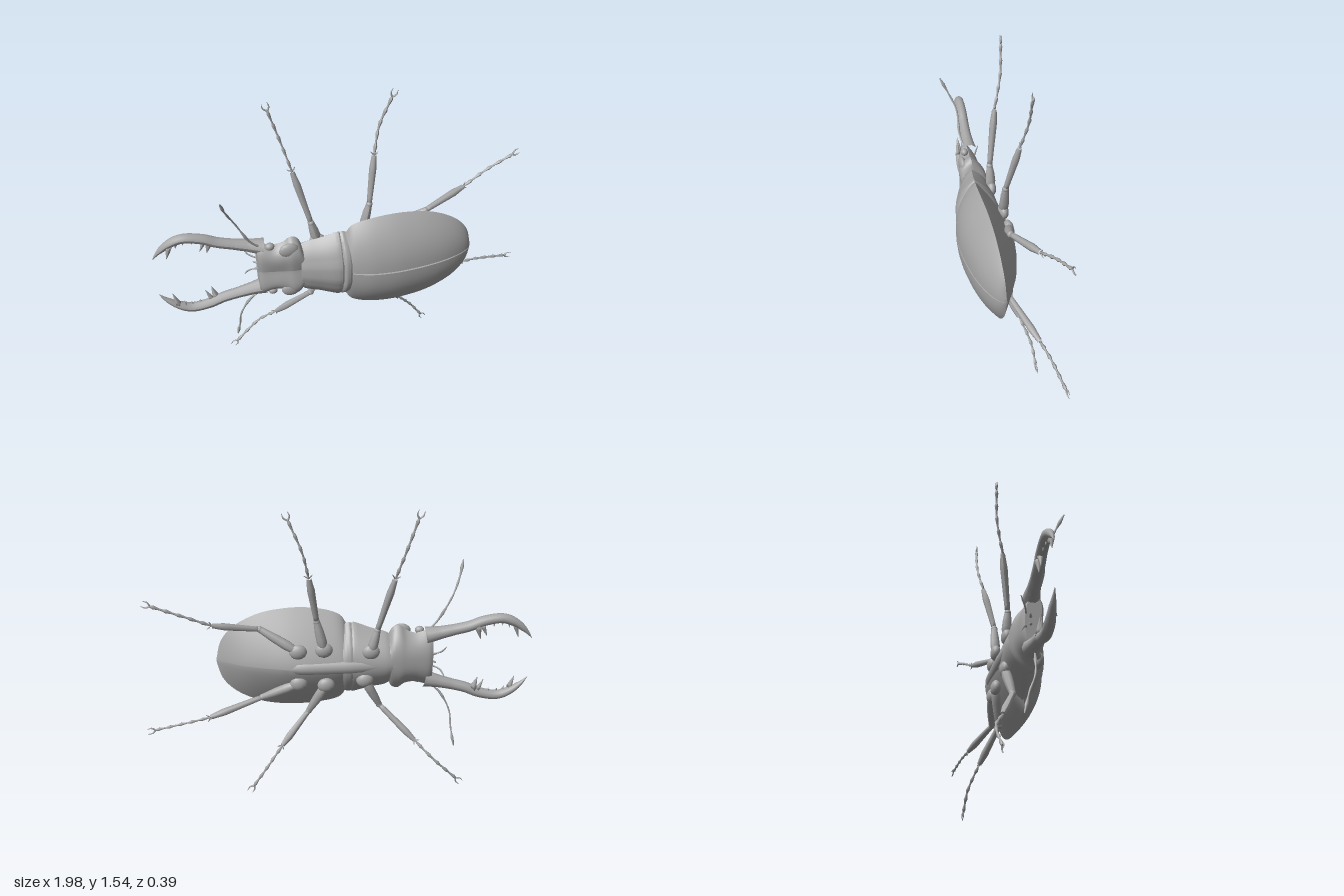
import * as THREE from 'three';
import { mergeGeometries, toCreasedNormals } from 'three/addons/utils/BufferGeometryUtils.js';

const shell = new THREE.MeshStandardMaterial({ color: 0xa6a6a6 });
shell.name = 'shell grey';
const V = (p) => new THREE.Vector3(...p);

function add(group, name, geo) {
  const mesh = new THREE.Mesh(geo, shell);
  mesh.name = name;
  group.add(mesh);
  return mesh;
}

// Body shell running along x. Each section: [x, halfWidth, rimZ, topZ, bottomZ].
// topShape(u) and bottomShape(u) give the relative height across the width, u = -1..1.
function loft(sections, cy, topShape, bottomShape, steps = 4) {
  const c1 = new THREE.CatmullRomCurve3(sections.map((s) => V([s[0], s[1], s[2]])), false, 'catmullrom');
  const c2 = new THREE.CatmullRomCurve3(sections.map((s) => V([s[3], s[4], 0])), false, 'catmullrom');
  const rows = [];
  const n = (sections.length - 1) * steps;
  for (let i = 0; i <= n; i++) {
    const a = c1.getPoint(i / n), b = c2.getPoint(i / n);
    rows.push([a.x, Math.max(a.y, 0.001), a.z, b.x, b.y]);
  }
  const close = (r) => [r[0], 0.001, r[2], r[2], r[2]];
  rows.unshift(close(rows[0]));
  rows.push(close(rows[rows.length - 1]));

  const us = [];
  for (let j = 0; j <= 24; j++) us.push(Math.sin((j / 12 - 1) * Math.PI / 2));
  us.splice(12, 1, -0.018, -0.012, 0, 0.012, 0.018);
  const side = (top) => {
    const pos = [], idx = [], w = us.length;
    rows.forEach(([x, hw, rim, zt, zb], i) => us.forEach((u, j) => {
      const z = top ? rim + (zt - rim) * topShape(u) : rim + (zb - rim) * bottomShape(u);
      pos.push(x, cy + hw * u, z);
      if (i && j) {
        const a = (i - 1) * w + j - 1, b = a + w, c = b + 1, d = a + 1;
        if (top) idx.push(a, b, c, a, c, d);
        else idx.push(a, c, b, a, d, c);
      }
    }));
    const g = new THREE.BufferGeometry();
    g.setAttribute('position', new THREE.Float32BufferAttribute(pos, 3));
    g.setIndex(idx);
    return g;
  };
  return toCreasedNormals(mergeGeometries([side(true), side(false)]), 0.6);
}

// Tube with a changing radius; radii are spread evenly over the path.
function taper(points, radii, { segs = 24, sides = 8, straight = false } = {}) {
  const curve = new THREE.CatmullRomCurve3(points.map(V), false, 'catmullrom', straight ? 0 : 0.5);
  const geo = new THREE.TubeGeometry(curve, segs, 1, sides);
  const p = geo.attributes.position, v = new THREE.Vector3();
  for (let i = 0; i <= segs; i++) {
    const f = (i / segs) * (radii.length - 1), k = Math.min(Math.floor(f), radii.length - 2);
    const r = THREE.MathUtils.lerp(radii[k], radii[k + 1], f - k);
    const c = curve.getPointAt(i / segs);
    for (let j = 0; j <= sides; j++) {
      const q = i * (sides + 1) + j;
      v.fromBufferAttribute(p, q).sub(c).multiplyScalar(r).add(c);
      p.setXYZ(q, v.x, v.y, v.z);
    }
  }
  geo.computeVertexNormals();
  return geo;
}

function ball(group, name, at, scale) {
  const m = add(group, name, new THREE.SphereGeometry(1, 14, 10));
  m.position.set(...at);
  m.scale.set(...scale);
  return m;
}

// Leg: hip, knee, end of shin, middle and end of the foot
function leg(name, hip, knee, shin, mid, end) {
  const g = new THREE.Group();
  g.name = name;
  ball(g, 'hip', hip, [0.045, 0.04, 0.026]);
  add(g, 'thigh', taper([hip, knee], [0.018, 0.026, 0.023, 0.016], { segs: 9 }));
  add(g, 'shin', taper([knee, shin], [0.013, 0.015, 0.017, 0.019, 0.012], { segs: 12 }));
  ball(g, 'kneeJoint', knee, [0.017, 0.017, 0.017]);
  // spurs at the end of the shin
  const dir = V(shin).sub(V(knee)).normalize();
  const across = new THREE.Vector3(-dir.y, dir.x, 0);
  for (const s of [-1, 1]) {
    const tip = V(shin).addScaledVector(dir, 0.02).addScaledVector(across, s * 0.022);
    add(g, 'spur', taper([shin, tip.toArray()], [0.007, 0.001], { segs: 2, sides: 5 }));
  }
  // knotted foot of five segments
  const foot = [0.005];
  for (let i = 0; i < 5; i++) foot.push(0.005, 0.007, 0.0095, 0.005);
  add(g, 'foot', taper([shin, mid, end], foot, { segs: 40, sides: 6 }));
  // paired claws
  const out = V(end).sub(V(mid)).normalize();
  const wide = new THREE.Vector3(-out.y, out.x, 0);
  for (const s of [-1, 1]) {
    const a = V(end).addScaledVector(out, 0.018).addScaledVector(wide, s * 0.015);
    const b = V(end).addScaledVector(out, 0.042).addScaledVector(wide, s * 0.014);
    add(g, 'claw', taper([end, a.toArray(), b.toArray()], [0.005, 0.004, 0.001], { segs: 6, sides: 5 }));
  }
  return g;
}

export function createModel() {
  const beetle = new THREE.Group();
  beetle.name = 'beetle';
  const belly = (u) => 1 - Math.abs(u) ** 1.35;

  // Wing cases with a central seam, and the abdomen beneath
  add(beetle, 'wingCases', loft([
    [-0.055, 0.19, 0.06, 0.145, -0.07], [-0.02, 0.24, 0.065, 0.16, -0.077], [0.06, 0.268, 0.075, 0.185, -0.08],
    [0.17, 0.281, 0.08, 0.197, -0.08], [0.27, 0.278, 0.08, 0.195, -0.07], [0.37, 0.262, 0.08, 0.185, -0.045],
    [0.46, 0.228, 0.08, 0.168, -0.015], [0.54, 0.176, 0.08, 0.142, 0.025], [0.595, 0.105, 0.078, 0.112, 0.055],
    [0.62, 0.012, 0.075, 0.08, 0.072],
  ], 0.69, (u) => 1 - Math.abs(u) ** 2.3 - (Math.abs(u) < 0.015 ? 0.07 : 0), belly));

  // Chest plate with raised middle panel, and its collar band
  const chestTop = (u) => (1 - Math.abs(u) ** 2.6) * (Math.abs(u) < 0.3 ? 1 : 0.93);
  const chestLow = (u) => 1 - Math.abs(u) ** 2;
  add(beetle, 'chest', loft([
    [-0.285, 0.135, 0.02, 0.085, -0.075], [-0.25, 0.155, 0.025, 0.1, -0.08], [-0.19, 0.17, 0.035, 0.122, -0.08],
    [-0.13, 0.19, 0.045, 0.143, -0.078], [-0.09, 0.203, 0.05, 0.15, -0.075], [-0.078, 0.195, 0.05, 0.142, -0.075],
  ], 0.69, chestTop, chestLow));
  add(beetle, 'collar', loft([
    [-0.082, 0.195, 0.05, 0.14, -0.07], [-0.07, 0.202, 0.05, 0.156, -0.074], [-0.045, 0.194, 0.052, 0.155, -0.074],
    [-0.028, 0.17, 0.055, 0.14, -0.07],
  ], 0.69, (u) => 1 - Math.abs(u) ** 2.6, chestLow));
  // Keel along the underside
  add(beetle, 'breastKeel', taper([[-0.3, 0.69, -0.045], [0, 0.69, -0.05], [0.24, 0.69, -0.04], [0.42, 0.69, 0.0]],
    [0.03, 0.04, 0.04, 0.02]));

  // Head with flared cheeks and dished forehead
  add(beetle, 'head', loft([
    [-0.495, 0.15, -0.005, 0.035, -0.05], [-0.47, 0.158, 0, 0.05, -0.06], [-0.41, 0.142, 0.0, 0.065, -0.065],
    [-0.36, 0.155, 0.01, 0.075, -0.07], [-0.325, 0.182, 0.015, 0.085, -0.074], [-0.29, 0.17, 0.015, 0.085, -0.075],
    [-0.268, 0.125, 0.015, 0.08, -0.075],
  ], 0.7, (u) => (1 - u ** 4) * (0.72 + 0.5 * Math.abs(u)), (u) => 1 - Math.abs(u) ** 2.6));

  for (const s of [1, -1]) {
    const m = ([x, d, z]) => [x, 0.705 + s * d, z];
    const side = new THREE.Group();
    side.name = s > 0 ? 'upperHeadParts' : 'lowerHeadParts';
    beetle.add(side);
    ball(side, 'eye', m([-0.43, 0.142, 0.022]), [0.024, 0.02, 0.02]);
    ball(side, 'browRidge', m([-0.34, 0.125, 0.055]), [0.05, 0.04, 0.02]);

    // Jaw with inner teeth
    const jaw = [[-0.46, 0.125, -0.012], [-0.52, 0.138, -0.018], [-0.6, 0.157, -0.025], [-0.68, 0.178, -0.033],
      [-0.75, 0.207, -0.04], [-0.84, 0.222, -0.048], [-0.91, 0.198, -0.055], [-0.965, 0.154, -0.06], [-1, 0.112, -0.063]];
    add(side, 'jaw', taper(jaw.map(m), [0.045, 0.034, 0.029, 0.028, 0.027, 0.026, 0.024, 0.016, 0.001], { segs: 48, sides: 10 }));
    const teeth = [[-0.715, 0.185, -0.735, 0.11, 0.022], [-0.74, 0.19, -0.768, 0.125, 0.016],
      [-0.91, 0.19, -0.932, 0.112, 0.018], [-0.8, 0.205, -0.8, 0.178, 0.01],
      [-0.84, 0.21, -0.845, 0.182, 0.01], [-0.875, 0.2, -0.882, 0.17, 0.01]];
    for (const [x1, d1, x2, d2, r] of teeth) {
      add(side, 'tooth', taper([m([x1, d1, -0.045]), m([x2, d2, -0.05])], [r, r * 0.55, 0.001], { segs: 6, sides: 7 }));
    }
    // Feelers by the mouth
    add(side, 'mouthFeeler', taper([m([-0.48, 0.03, -0.04]), m([-0.53, 0.05, -0.06]), m([-0.555, 0.09, -0.085])],
      [0.006, 0.004, 0.005, 0.002], { segs: 10, sides: 5 }));
    add(side, 'mouthBristle', taper([m([-0.48, 0.015, -0.02]), m([-0.515, 0.025, -0.03])], [0.012, 0.003], { segs: 4, sides: 6 }));
  }

  // Antennae, long stalk then a bent, knobbed whip
  const antennae = {
    upperAntenna: [[-0.47, 0.84, 0.01], [-0.53, 0.905, 0.025], [-0.59, 1.02, 0.025], [-0.63, 1.11, 0.06], [-0.655, 1.195, 0.1]],
    lowerAntenna: [[-0.47, 0.57, 0], [-0.55, 0.49, -0.02], [-0.6, 0.39, -0.035], [-0.608, 0.3, -0.065], [-0.625, 0.2, -0.09]],
  };
  for (const [name, path] of Object.entries(antennae)) {
    add(beetle, name, taper(path, [0.009, 0.005, 0.005, 0.008, 0.004, 0.005, 0.004, 0.006, 0.004, 0.009, 0.003],
      { segs: 40, sides: 6 }));
  }

  // Six legs, each in its own pose
  const legs = {
    upperFrontLeg: [[-0.17, 0.77, -0.06], [-0.2, 0.89, -0.06], [-0.275, 1.18, -0.105], [-0.32, 1.34, -0.145], [-0.367, 1.495, -0.16]],
    upperMiddleLeg: [[0.07, 0.79, -0.06], [0.105, 0.95, -0.06], [0.143, 1.2, -0.115], [0.175, 1.345, -0.145], [0.235, 1.495, -0.14]],
    upperHindLeg: [[0.2, 0.78, -0.05], [0.39, 0.895, -0.005], [0.62, 0.955, -0.075], [0.75, 1.02, -0.1], [0.9, 1.085, -0.113]],
    lowerFrontLeg: [[-0.14, 0.61, -0.06], [-0.22, 0.45, -0.04], [-0.4, 0.275, -0.13], [-0.5, 0.18, -0.183], [-0.625, 0.055, -0.185]],
    lowerMiddleLeg: [[0.06, 0.59, -0.06], [0.15, 0.42, -0.02], [0.295, 0.255, -0.09], [0.385, 0.14, -0.13], [0.455, 0.04, -0.138]],
    lowerHindLeg: [[0.2, 0.6, -0.05], [0.39, 0.505, -0.005], [0.66, 0.44, -0.08], [0.78, 0.425, -0.1], [0.94, 0.4, -0.115]],
  };
  for (const [name, joints] of Object.entries(legs)) beetle.add(leg(name, ...joints));

  return beetle;
}
